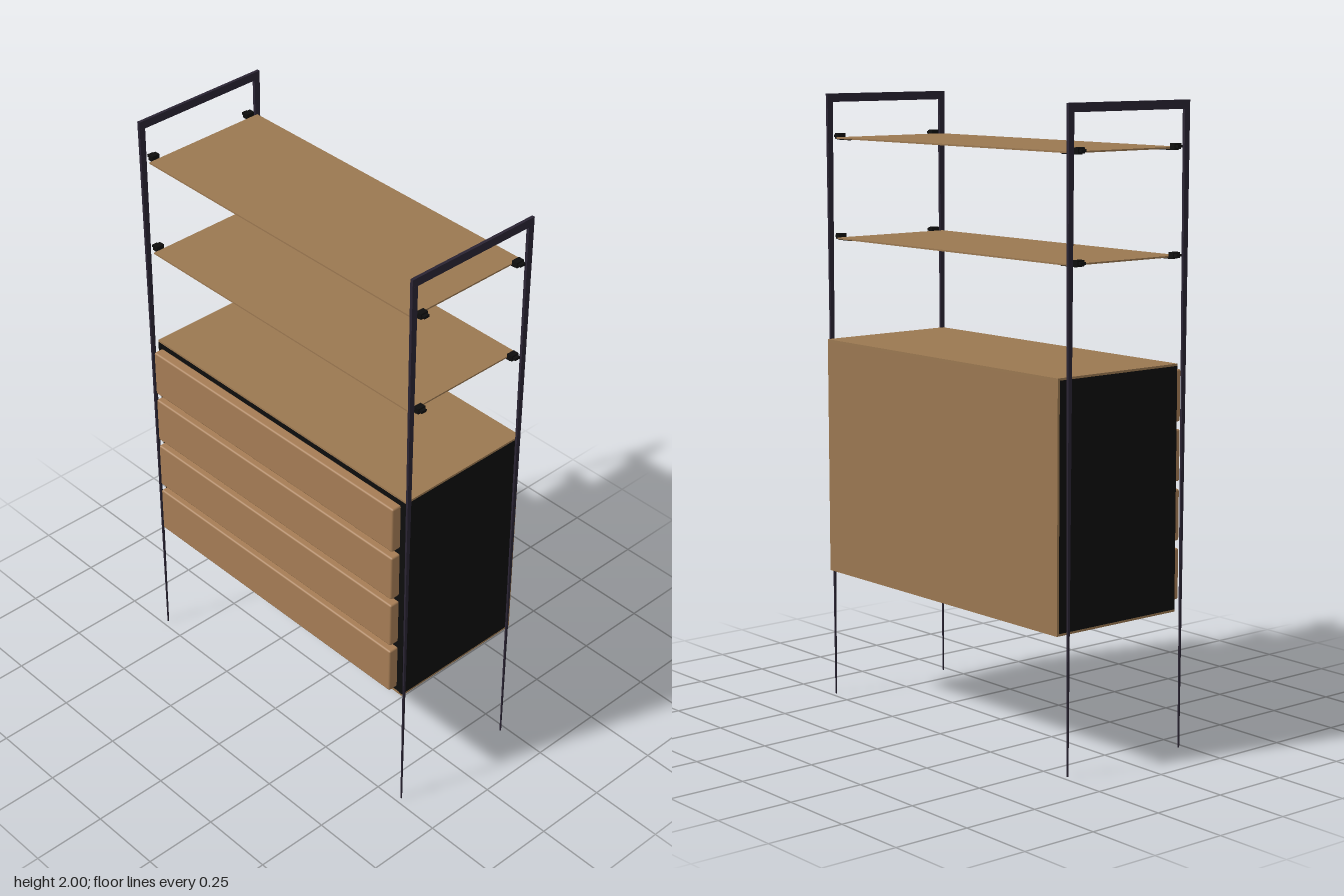
import * as THREE from 'three';
import { RoundedBoxGeometry } from 'three/addons/geometries/RoundedBoxGeometry.js';

const material = (name, color) => {
  const m = new THREE.MeshStandardMaterial({ color });
  m.name = name;
  return m;
};

export function createModel() {
  const wood = material('wood', 0x9b7851);
  const drawerWood = material('drawer wood', 0xa67d55);
  const black = material('black panel', 0x0d0d0d);
  const metal = material('dark metal', 0x2a2433);

  const model = new THREE.Group();
  model.name = 'dresserWithShelves';

  const add = (parent, name, geometry, mat, x, y, z) => {
    const mesh = new THREE.Mesh(geometry, mat);
    mesh.name = name;
    mesh.position.set(x, y, z);
    parent.add(mesh);
    return mesh;
  };
  // Box given by its lower and upper limits
  const box = (parent, name, mat, x0, x1, y0, y1, z0, z1) =>
    add(parent, name, new THREE.BoxGeometry(x1 - x0, y1 - y0, z1 - z0), mat,
      (x0 + x1) / 2, (y0 + y1) / 2, (z0 + z1) / 2);

  // Cabinet: wooden top, bottom and back, black sides and front
  const cabinet = new THREE.Group();
  cabinet.name = 'cabinet';
  model.add(cabinet);
  box(cabinet, 'topPanel', wood, -0.57, 0.57, 1.198, 1.205, -0.26, 0.222);
  box(cabinet, 'bottomPanel', wood, -0.57, 0.57, 0.432, 0.439, -0.26, 0.222);
  box(cabinet, 'backPanel', wood, -0.57, 0.57, 0.439, 1.198, -0.26, -0.252);
  box(cabinet, 'frontPanel', black, -0.555, 0.555, 0.439, 1.198, 0.205, 0.22);
  for (const s of [-1, 1]) {
    const [a, b] = [0.555 * s, 0.57 * s].sort((p, q) => p - q);
    box(cabinet, 'sidePanel', black, a, b, 0.439, 1.198, -0.252, 0.222);
  }

  // Four drawer fronts with softened edges
  for (let i = 0; i < 4; i++) {
    add(cabinet, 'drawerFront', new RoundedBoxGeometry(1.1, 0.162, 0.036, 2, 0.006),
      drawerWood, 0, 0.543 + i * 0.1863, 0.24);
  }

  // Post that narrows and leans inward towards the floor
  const postGeometry = (side) => {
    const g = new THREE.BoxGeometry(1, 2, 1, 1, 8, 1);
    const p = g.attributes.position;
    for (let i = 0; i < p.count; i++) {
      const t = (p.getY(i) + 1) / 2;
      const outer = 0.232 + 0.009 * t;
      const width = 0.004 + 0.017 * t;
      const depth = p.getZ(i) * side > 0 ? outer : outer - width;
      p.setXYZ(i, p.getX(i) * (0.004 + 0.006 * t), t * 2, side * depth);
    }
    g.computeVertexNormals();
    return g;
  };

  // Two side frames
  for (const s of [-1, 1]) {
    const frame = new THREE.Group();
    frame.name = s > 0 ? 'leftFrame' : 'rightFrame';
    frame.position.x = s * 0.587;
    model.add(frame);
    for (const side of [-1, 1]) add(frame, 'post', postGeometry(side), metal, 0, 0, 0);
    box(frame, 'topBar', metal, -0.005, 0.005, 1.973, 2, -0.235, 0.235);
  }

  // Two thin shelves, each held by four brackets
  for (const y of [1.53, 1.855]) {
    const shelf = new THREE.Group();
    shelf.name = 'shelf';
    shelf.position.y = y;
    model.add(shelf);
    box(shelf, 'shelfBoard', wood, -0.57, 0.57, 0, 0.005, -0.217, 0.22);
    for (const x of [-1, 1]) for (const z of [-1, 1]) {
      add(shelf, 'bracketTongue', new THREE.BoxGeometry(0.065, 0.003, 0.026), black,
        x * 0.55, -0.002, z * 0.192);
      add(shelf, 'bracketClip', new THREE.BoxGeometry(0.02, 0.018, 0.028), black,
        x * 0.582, 0.008, z * 0.192);
      add(shelf, 'bracketPin', new THREE.BoxGeometry(0.01, 0.008, 0.02), black,
        x * 0.597, 0.008, z * 0.192);
    }
  }
  return model;
}
